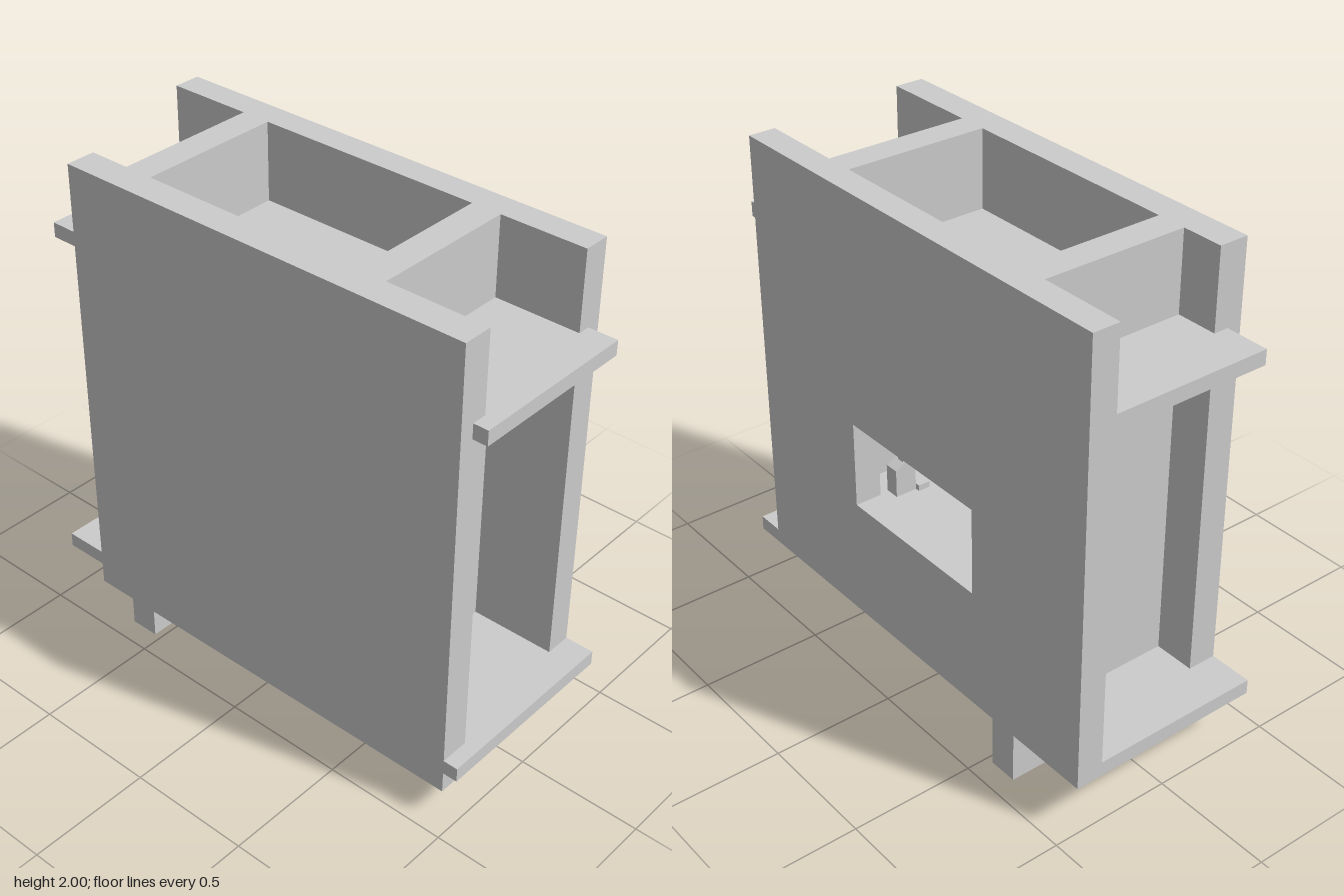
import * as THREE from 'three';

const material = new THREE.MeshStandardMaterial({ color: 0xcccccc, flatShading: true });

// Box given by its limits on each axis
function box(name, [x0, x1], [y0, y1], [z0, z1]) {
  const mesh = new THREE.Mesh(new THREE.BoxGeometry(x1 - x0, y1 - y0, z1 - z0), material);
  mesh.name = name;
  mesh.position.set((x0 + x1) / 2, (y0 + y1) / 2, (z0 + z1) / 2);
  return mesh;
}

function rectangle(PathType, x0, x1, y0, y1) {
  const path = new PathType();
  path.moveTo(x0, y0);
  path.lineTo(x1, y0);
  path.lineTo(x1, y1);
  path.lineTo(x0, y1);
  path.closePath();
  return path;
}

export function createModel() {
  const group = new THREE.Group();
  group.name = 'interlockingBox';

  // Front panel, and back panel with its window
  group.add(box('frontPanel', [-0.82, 0.94], [0.12, 2], [0.29, 0.41]));
  const outline = rectangle(THREE.Shape, -1, 0.88, 0.21, 2);
  outline.holes.push(rectangle(THREE.Path, -0.415, 0.29, 0.705, 1.06));
  const back = new THREE.Mesh(
    new THREE.ExtrudeGeometry(outline, { depth: 0.11, bevelEnabled: false }), material);
  back.name = 'backPanel';
  back.position.z = -0.41;
  group.add(back);

  // Upright walls between the panels; one reaches down as a foot
  group.add(box('rightWall', [-0.65, -0.53], [0.12, 2], [-0.3, 0.29]));
  group.add(box('rightFoot', [-0.65, -0.53], [0, 0.21], [-0.41, 0.41]));
  group.add(box('leftWall', [0.41, 0.53], [0.12, 2], [-0.3, 0.29]));

  // Shelves running through the full width
  group.add(box('lowerShelf', [-1, 1], [0.21, 0.27], [-0.41, 0.41]));
  group.add(box('upperShelf', [-1, 1], [1.62, 1.68], [-0.35, 0.35]));

  // Raised chamber floor around a sunken corner
  group.add(box('chamberFloor', [-0.53, 0.41], [0.27, 0.705], [-0.3, -0.055]));
  group.add(box('chamberLedge', [0.163, 0.41], [0.27, 0.705], [-0.055, 0.29]));

  // Small fitting standing on the chamber floor
  const fitting = new THREE.Group();
  fitting.name = 'chamberFitting';
  const profile = new THREE.Shape();
  [[-0.26, 0.705], [-0.17, 0.705], [-0.17, 0.8], [-0.2, 0.85], [-0.26, 0.82]]
    .forEach(([z, y], i) => (i ? profile.lineTo(-z, y) : profile.moveTo(-z, y)));
  const body = new THREE.Mesh(
    new THREE.ExtrudeGeometry(profile, { depth: 0.06, bevelEnabled: false }), material);
  body.name = 'fittingBody';
  body.rotation.y = Math.PI / 2;
  body.position.x = 0.24;
  fitting.add(body);
  fitting.add(box('fittingKnob', [0.25, 0.28], [0.83, 0.88], [-0.22, -0.19]));
  fitting.add(box('fittingStep', [0.22, 0.28], [0.705, 0.73], [-0.17, -0.12]));
  group.add(fitting);

  return group;
}
